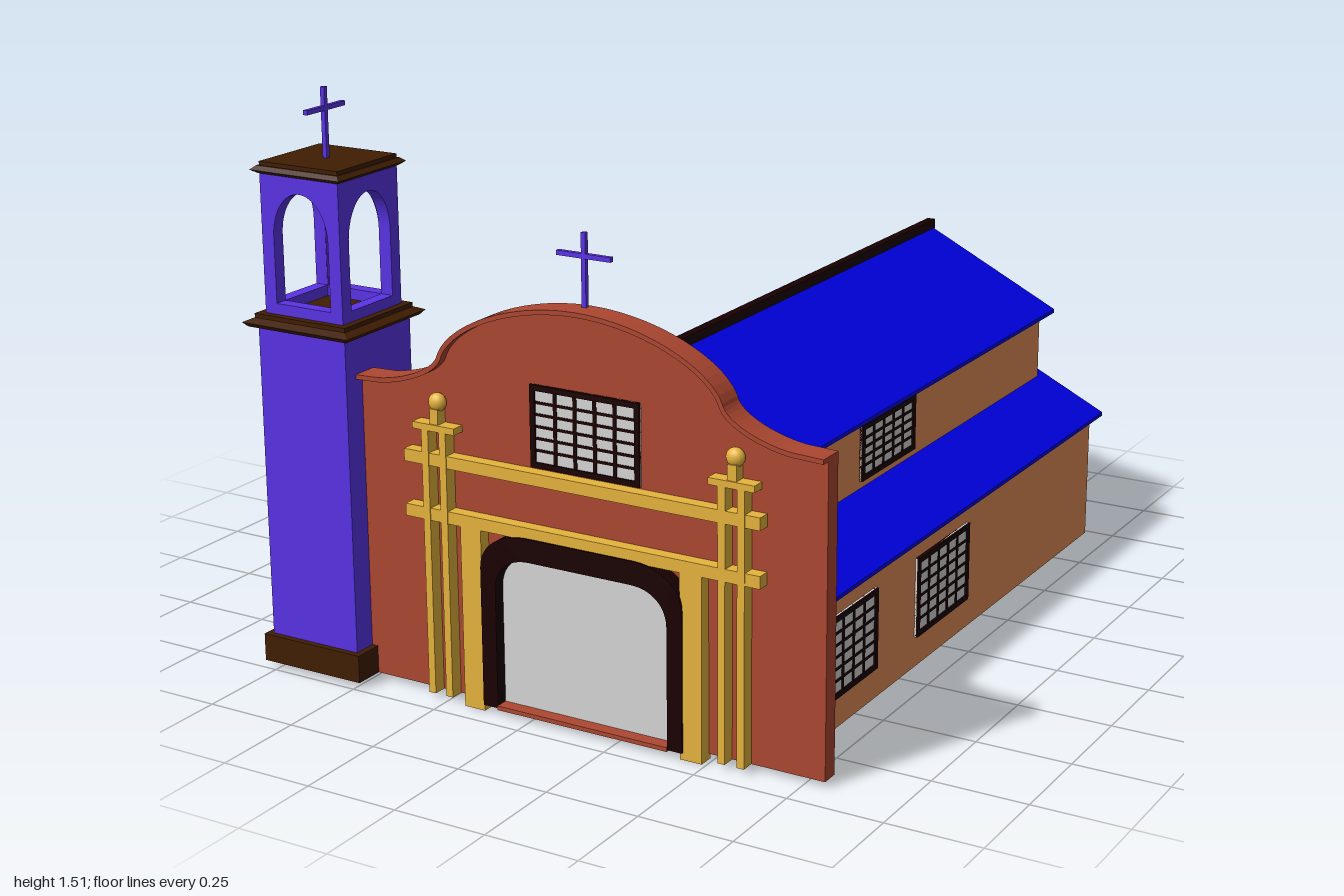
import * as THREE from 'three';

const mat = (name, color) => {
  const m = new THREE.MeshStandardMaterial({ color });
  m.name = name;
  return m;
};

export function createModel() {
  const root = new THREE.Group();
  const M = {
    roof: mat('roof blue', 0x0000e4),
    wall: mat('wall orange', 0xe38c58),
    facade: mat('brick red', 0xad4731),
    tower: mat('tower purple', 0x5a33e6),
    brown: mat('dark brown', 0x401e02),
    dark: mat('frame black brown', 0x1a0000),
    gold: mat('gold', 0xe6b43c),
    grey: mat('pale grey', 0xd6d6d6),
  };
  const CX = 0.142; // centre line of the hall
  const FRONT = 0.908; // front plane of the facade

  const add = (name, geo, material, parent = root) => {
    const m = new THREE.Mesh(geo, material);
    m.name = name;
    parent.add(m);
    return m;
  };
  // box given by its min and max corners
  const box = (name, material, x0, x1, y0, y1, z0, z1, parent) => {
    const m = add(name, new THREE.BoxGeometry(x1 - x0, y1 - y0, z1 - z0), material, parent);
    m.position.set((x0 + x1) / 2, (y0 + y1) / 2, (z0 + z1) / 2);
    return m;
  };
  // shape in the xy plane extruded from z0 to z1
  const slab = (name, material, shape, z0, z1, parent) => {
    const geo = new THREE.ExtrudeGeometry(shape, { depth: z1 - z0, bevelEnabled: false, curveSegments: 16 });
    const m = add(name, geo, material, parent);
    m.position.z = z0;
    return m;
  };
  const poly = (pts) => new THREE.Shape(pts.map((p) => new THREE.Vector2(p[0], p[1])));

  // Hall: two stacked gabled volumes, each with a thin overhanging roof
  const tier = (name, half, y0, wallBack, eaveHalf, eaveY, ridgeY, roofBack) => {
    const t = 0.011;
    const slope = (ridgeY - eaveY) / eaveHalf;
    const top = ridgeY - t / 2;
    const side = top - slope * half;
    slab(name + 'Walls', M.wall, poly([
      [CX - half, y0], [CX + half, y0], [CX + half, side], [CX, top], [CX - half, side],
    ]), wallBack, 0.87);
    slab(name + 'Roof', M.roof, poly([
      [CX - eaveHalf, eaveY - t], [CX, ridgeY - t], [CX + eaveHalf, eaveY - t],
      [CX + eaveHalf, eaveY], [CX, ridgeY], [CX - eaveHalf, eaveY],
    ]), roofBack, 0.857);
  };
  tier('lower', 0.54, 0.012, -0.955, 0.565, 0.378, 0.654, -0.987);
  tier('upper', 0.377, 0.4, -0.945, 0.402, 0.664, 0.864, -0.992);
  box('roofRidge', M.dark, CX - 0.012, CX + 0.012, 0.856, 0.884, -1, 0.863);

  // Barred window centred on its own origin, facing +z
  const makeWindow = (name, w, h, cols, rows) => {
    const g = new THREE.Group();
    g.name = name;
    const f = 0.014, b = 0.01, c = 0.007;
    box('panes', M.grey, -w / 2, w / 2, -h / 2, h / 2, -0.004, 0.004, g);
    for (const s of [-1, 1]) {
      const x = s * (w - f) / 2, y = s * (h - f) / 2;
      box('frameSide', M.dark, x - f / 2, x + f / 2, -h / 2, h / 2, -0.004, 0.009, g);
      box('frameRail', M.dark, -w / 2, w / 2, y - f / 2, y + f / 2, -0.004, 0.009, g);
    }
    for (let i = 1; i < cols; i++) {
      const x = -w / 2 + f + (i * (w - 2 * f)) / cols;
      box('uprightBar', M.dark, x - b / 2, x + b / 2, -h / 2, h / 2, -0.004, 0.006, g);
    }
    for (let i = 1; i < rows; i++) {
      const y = -h / 2 + f + (i * (h - 2 * f)) / rows;
      box('crossBar', M.dark, -w / 2, w / 2, y - c / 2, y + c / 2, -0.004, 0.006, g);
    }
    root.add(g);
    return g;
  };
  for (const z of [0.573, 0.038]) {
    const lower = makeWindow('lowerSideWindow', 0.308, 0.215, 5, 6);
    lower.position.set(CX + 0.541, 0.204, z);
    const upper = makeWindow('upperSideWindow', 0.306, 0.15, 5, 5);
    upper.position.set(CX + 0.378, 0.566, z + 0.003);
    lower.rotation.y = upper.rotation.y = Math.PI / 2;
  }
  makeWindow('frontWindow', 0.307, 0.208, 5, 6).position.set(0.153, 0.76, FRONT);

  // Facade with curved shoulders and a broad arched crown
  const crest = new THREE.Path();
  crest.moveTo(CX + 0.66, 0.815);
  crest.lineTo(CX + 0.58, 0.818);
  crest.bezierCurveTo(CX + 0.5, 0.826, CX + 0.405, 0.865, CX + 0.398, 0.905);
  crest.bezierCurveTo(CX + 0.36, 0.99, CX + 0.18, 1.065, CX, 1.065);
  crest.bezierCurveTo(CX - 0.18, 1.065, CX - 0.36, 0.99, CX - 0.398, 0.905);
  crest.bezierCurveTo(CX - 0.405, 0.865, CX - 0.5, 0.826, CX - 0.58, 0.818);
  crest.lineTo(CX - 0.66, 0.815);
  const rim = crest.getPoints(14);
  const inner = rim.map((p, i) => {
    const d = rim[Math.min(i + 1, rim.length - 1)].clone().sub(rim[Math.max(i - 1, 0)]).normalize();
    return new THREE.Vector2(p.x - d.y * 0.012, p.y + d.x * 0.012);
  });
  slab('facade', M.facade, poly([
    [CX - 0.66, 0.015], [CX + 0.66, 0.015], ...inner.map((p) => [p.x, p.y]),
  ]), 0.861, FRONT);
  // projecting coping that follows the crest
  slab('facadeCoping', M.facade, new THREE.Shape([...rim, ...inner.reverse()]), 0.861, 0.933);

  // Doorway: rounded dark surround with a pale door
  const arch = (P, x0, x1, y0, y1, rx, ry) => {
    const s = new P();
    s.moveTo(x0, y0);
    s.lineTo(x1, y0);
    s.lineTo(x1, y1 - ry);
    s.bezierCurveTo(x1, y1 - ry * 0.4, x1 - rx * 0.4, y1, x1 - rx, y1);
    s.lineTo(x0 + rx, y1);
    s.bezierCurveTo(x0 + rx * 0.4, y1, x0, y1 - ry * 0.4, x0, y1 - ry);
    s.lineTo(x0, y0);
    return s;
  };
  const surround = arch(THREE.Shape, -0.135, 0.437, 0.018, 0.481, 0.14, 0.1);
  surround.holes.push(arch(THREE.Path, -0.092, 0.396, 0.022, 0.421, 0.1, 0.09));
  slab('doorSurround', M.dark, surround, 0.9, 0.947);
  slab('door', M.grey, arch(THREE.Shape, -0.1, 0.404, 0.022, 0.43, 0.1, 0.09), 0.904, 0.914);
  box('doorThreshold', M.facade, -0.092, 0.396, 0.014, 0.025, 0.9, 0.949);

  // Gold portal: door pillars, two beams, paired columns with finials
  for (const x of [-0.165, 0.459]) box('doorPillar', M.gold, x - 0.03, x + 0.03, 0, 0.49, 0.9, 0.942);
  for (const y of [0.492, 0.635]) box('portalBeam', M.gold, -0.358, 0.645, y - 0.016, y + 0.016, 0.9, 0.942);
  for (const x of [-0.267, 0.569]) {
    for (const d of [-0.026, 0.026]) {
      box('portalColumn', M.gold, x + d - 0.01, x + d + 0.01, 0.015, 0.715, 0.9, 0.944);
    }
    box('columnCapital', M.gold, x - 0.062, x + 0.062, 0.709, 0.726, 0.9, 0.944);
    box('finialStem', M.gold, x - 0.012, x + 0.012, 0.726, 0.765, 0.9, 0.94);
    const ball = add('finialBall', new THREE.SphereGeometry(0.024, 16, 12), M.gold);
    ball.position.set(x, 0.779, 0.922);
    ball.scale.z = 0.8;
  }

  // Bell tower
  const tower = new THREE.Group();
  tower.name = 'bellTower';
  tower.position.set(-0.639, 0, 0.838);
  root.add(tower);
  const block = (name, m, h, y0, y1) => box(name, m, -h, h, y0, y1, -h, h, tower);
  // square block tapering from half width a to half width b
  const taper = (name, a, b, y0, y1) => {
    const geo = new THREE.CylinderGeometry(b * Math.SQRT2, a * Math.SQRT2, y1 - y0, 4).toNonIndexed();
    geo.rotateY(Math.PI / 4);
    geo.computeVertexNormals();
    add(name, geo, M.brown, tower).position.y = (y0 + y1) / 2;
  };
  block('towerBase', M.brown, 0.151, 0.015, 0.088);
  block('towerShaft', M.tower, 0.134, 0.088, 0.917);
  taper('ledgeLower', 0.152, 0.163, 0.913, 0.925);
  taper('ledgeMiddle', 0.163, 0.141, 0.925, 0.935);
  block('ledgeTop', M.brown, 0.14, 0.933, 0.946);
  for (let i = 0; i < 4; i++) {
    const side = poly([[-0.12, 0.945], [0.12, 0.945], [0.12, 1.307], [-0.12, 1.307]]);
    const hole = new THREE.Path();
    hole.moveTo(-0.084, 0.974);
    hole.lineTo(0.084, 0.974);
    hole.lineTo(0.084, 1.145);
    hole.absellipse(0, 1.145, 0.084, 0.116, 0, Math.PI, false, 0);
    hole.lineTo(-0.084, 0.974);
    side.holes.push(hole);
    const pivot = new THREE.Group();
    pivot.name = 'belfrySide';
    pivot.rotation.y = (i * Math.PI) / 2;
    tower.add(pivot);
    slab('belfryArch', M.tower, side, 0.085, 0.12, pivot);
  }
  taper('capLower', 0.122, 0.137, 1.302, 1.312);
  taper('capMiddle', 0.137, 0.125, 1.312, 1.322);
  block('capTop', M.brown, 0.12, 1.32, 1.332);

  // Crosses: one along z on the tower, one along x on the facade
  const cross = (name, x, y, z, h, armY, turn) => {
    const g = new THREE.Group();
    g.name = name;
    g.position.set(x, y, z);
    g.rotation.y = turn;
    box('crossPost', M.tower, -0.006, 0.006, -0.02, h, -0.006, 0.006, g);
    box('crossArm', M.tower, -0.075, 0.075, armY - 0.006, armY + 0.006, -0.006, 0.006, g);
    root.add(g);
  };
  cross('towerCross', -0.641, 1.332, 0.842, 0.178, 0.125, Math.PI / 2);
  cross('facadeCross', 0.137, 1.065, 0.878, 0.181, 0.124, 0);

  return root;
}
